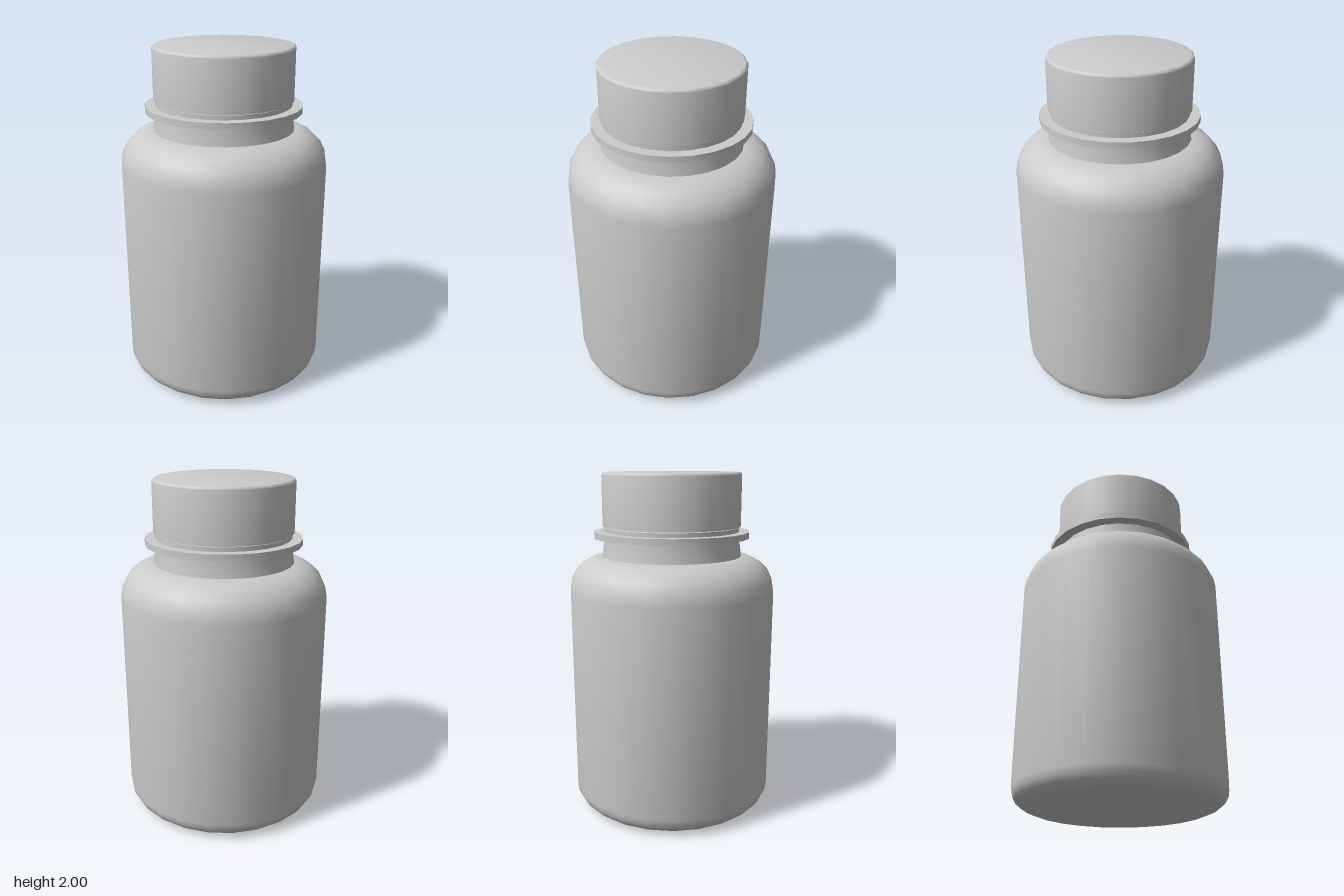
import * as THREE from 'three';
import { toCreasedNormals } from 'three/addons/utils/BufferGeometryUtils.js';

const SIDES = 24;
const material = new THREE.MeshStandardMaterial({ color: 0xcccccc });

// Turn a profile of [radius, height] pairs, keeping sharp edges sharp
function turned(name, profile) {
  const points = profile.map(([r, y]) => new THREE.Vector2(r, y));
  const geometry = toCreasedNormals(new THREE.LatheGeometry(points, SIDES), 0.7);
  const mesh = new THREE.Mesh(geometry, material);
  mesh.name = name;
  return mesh;
}

// Quarter-ellipse profile points around a centre, between two angles in degrees
function arc(cx, cy, rx, ry, from, to, steps) {
  return Array.from({ length: steps + 1 }, (_, i) => {
    const a = THREE.MathUtils.degToRad(from + ((to - from) * i) / steps);
    return [cx + rx * Math.cos(a), cy + ry * Math.sin(a)];
  });
}

export function createModel() {
  const group = new THREE.Group();
  group.name = 'bottle';

  // Body with rounded base and shoulder
  group.add(turned('body', [
    [0, 0.005], [0.48, 0.005], [0.5, 0],
    ...arc(0.495, 0.11, 0.11, 0.105, -75, 0, 4),
    ...arc(0.405, 1.325, 0.2, 0.2, 0, 90, 5),
    [0.38, 1.525],
  ]));

  // Tapered neck
  group.add(turned('neck', [
    [0.41, 1.52], [0.395, 1.63], [0.395, 1.69], [0.38, 1.7],
  ]));

  // Flange around the neck
  group.add(turned('neckRing', [
    [0.37, 1.63], [0.455, 1.63], [0.455, 1.666], [0.37, 1.666],
  ]));

  // Cap with a softened top edge
  group.add(turned('cap', [
    [0, 1.695], [0.405, 1.695],
    ...arc(0.388, 1.983, 0.017, 0.017, 0, 90, 3),
    [0, 2],
  ]));

  return group;
}
